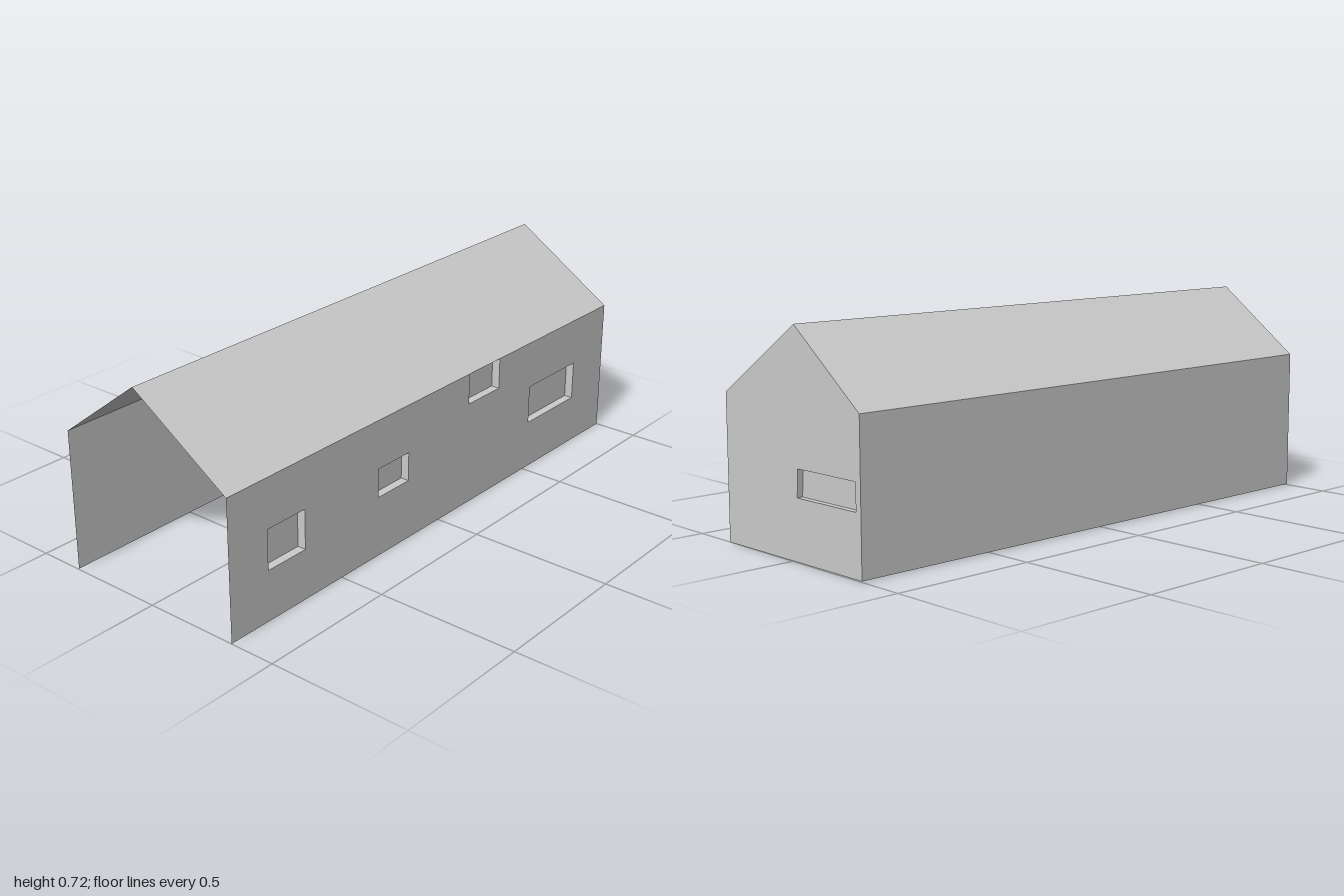
import * as THREE from 'three';

const material = new THREE.MeshStandardMaterial({ color: 0xcccccc, side: THREE.DoubleSide, flatShading: true });

// House profile as [z, y]
const FRONT_EAVE = [0.338, 0.483], RIDGE = [-0.03, 0.722], BACK_EAVE = [-0.338, 0.49];
const HALF_LENGTH = 1;

const toPoints = (list) => list.map(([x, y]) => new THREE.Vector2(x, y));
const rect = (x0, x1, y0, y1) => [[x0, y0], [x1, y0], [x1, y1], [x0, y1]];

function mesh(geometry, name) {
  const m = new THREE.Mesh(geometry, material);
  m.name = name;
  return m;
}

// Quads joining each corner a[i], a[i+1] to b[i], b[i+1]
function strip(a, b) {
  const pos = [];
  for (let i = 0; i < a.length - 1; i++) {
    pos.push(...a[i], ...b[i], ...b[i + 1], ...a[i], ...b[i + 1], ...a[i + 1]);
  }
  const g = new THREE.BufferGeometry();
  g.setAttribute('position', new THREE.Float32BufferAttribute(pos, 3));
  g.computeVertexNormals();
  return g;
}

// Thin wall facing local +z, with windows set back by the given depth
function wallWithWindows(name, outline, windows, depth) {
  const group = new THREE.Group();
  group.name = name;
  const shape = new THREE.Shape(toPoints(outline));
  windows.forEach((w) => shape.holes.push(new THREE.Path(toPoints(w))));
  group.add(mesh(new THREE.ShapeGeometry(shape), name + 'Panel'));
  windows.forEach((w) => {
    const loop = [...w, w[0]];
    const reveal = strip(loop.map(([x, y]) => [x, y, 0]), loop.map(([x, y]) => [x, y, -depth]));
    group.add(mesh(reveal, 'windowReveal'));
    const pane = mesh(new THREE.ShapeGeometry(new THREE.Shape(toPoints(w))), 'windowPane');
    pane.position.z = -depth;
    group.add(pane);
  });
  return group;
}

// Flat panels running the length of the house along a [z, y] profile
function lengthwise(name, profile) {
  const at = (x) => profile.map(([z, y]) => [x, y, z]);
  return mesh(strip(at(-HALF_LENGTH), at(HALF_LENGTH)), name);
}

export function createModel() {
  const house = new THREE.Group();
  house.name = 'house';

  // Front wall with four recessed windows, one tucked under the eave
  const front = wallWithWindows('frontWall', rect(-HALF_LENGTH, HALF_LENGTH, 0, FRONT_EAVE[1]), [
    rect(-0.835, -0.67, 0.175, 0.313),
    rect(-0.32, -0.165, 0.212, 0.313),
    rect(0.16, 0.333, 0.373, 0.4825),
    rect(0.525, 0.808, 0.175, 0.313),
  ], 0.03);
  front.position.z = FRONT_EAVE[0];
  house.add(front);

  // Gable wall on the +x end (local x is -z); the other end stays open
  const gable = wallWithWindows('gableWall',
    [[-FRONT_EAVE[0], 0], [-BACK_EAVE[0], 0.003], ...[BACK_EAVE, RIDGE, FRONT_EAVE].map(([z, y]) => [-z, y])],
    [[[0.03, 0.2], [0.315, 0.202], [0.315, 0.291], [0.035, 0.289]]], 0.02);
  gable.rotation.y = Math.PI / 2;
  gable.position.x = HALF_LENGTH;
  house.add(gable);

  // Plain back wall and the two roof slopes
  house.add(lengthwise('backWall', [BACK_EAVE, [BACK_EAVE[0], 0.003]]));
  house.add(lengthwise('frontRoof', [FRONT_EAVE, RIDGE]));
  house.add(lengthwise('backRoof', [RIDGE, BACK_EAVE]));
  return house;
}
